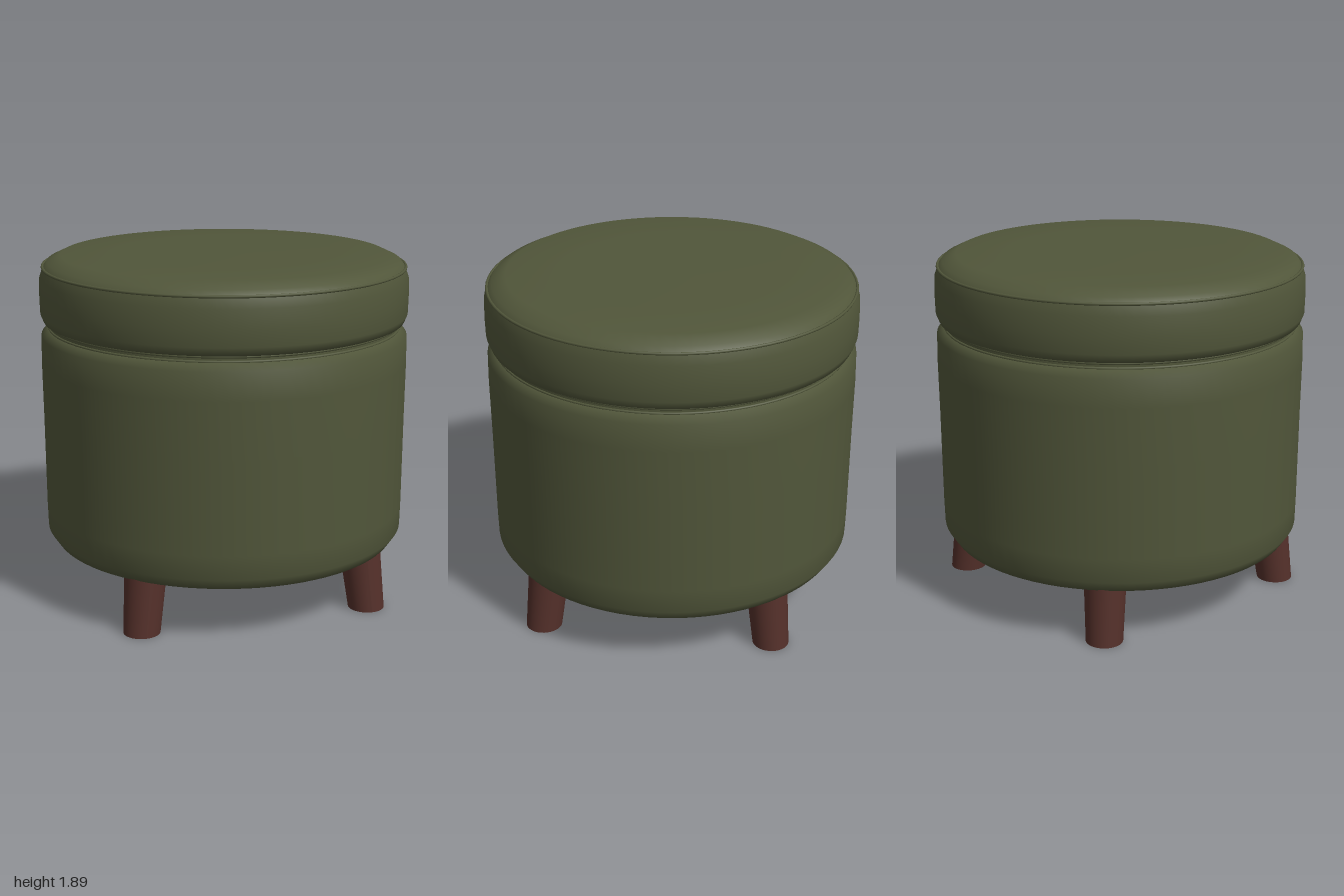
import * as THREE from 'three';

const material = (name, color) => {
  const m = new THREE.MeshStandardMaterial({ color });
  m.name = name;
  return m;
};

export function createModel() {
  const group = new THREE.Group();
  const fabric = material('olive fabric', 0x51563a);
  const wood = material('dark brown wood', 0x54302a);

  const add = (name, geometry, mat) => {
    const mesh = new THREE.Mesh(geometry, mat);
    mesh.name = name;
    group.add(mesh);
    return mesh;
  };
  const lathe = (points) =>
    new THREE.LatheGeometry(points.map(([r, y]) => new THREE.Vector2(r, y)), 80);
  const ring = (name, radius, tube, y) => {
    const mesh = add(name, new THREE.TorusGeometry(radius, tube, 8, 80), fabric);
    mesh.rotation.x = Math.PI / 2;
    mesh.position.y = y;
  };

  // Upholstered drum with rounded lower and upper edges
  add('body', lathe([
    [0, 0.28], [0.5, 0.28], [0.86, 0.28], [0.95, 0.31], [0.99, 0.37], [0.993, 0.5],
    [0.995, 1.0], [0.998, 1.3], [0.995, 1.45], [0.955, 1.49], [0.9, 1.495],
  ]), fabric);

  // Recessed gap between drum and lid
  add('gap', new THREE.CylinderGeometry(0.952, 0.952, 0.06, 80, 1, true), fabric).position.y = 1.5;

  // Cushioned lid, slightly domed on top
  add('lid', lathe([
    [0.9, 1.515], [0.95, 1.517], [0.982, 1.53], [0.998, 1.57], [1, 1.66], [0.997, 1.76],
    [0.978, 1.815],
  ]), fabric);
  add('lidTop', lathe([
    [0.978, 1.815], [0.955, 1.845], [0.88, 1.88], [0.6, 1.887], [0.3, 1.893], [0, 1.895],
  ]), fabric);

  // Piping along the seams
  ring('lidPiping', 0.98, 0.008, 1.817);
  ring('lidSeam', 0.952, 0.008, 1.517);
  ring('bodySeam', 0.952, 0.007, 1.491);

  // Four tapered legs, leaning outwards towards the floor
  const height = 0.37;
  for (const sx of [-1, 1]) {
    for (const sz of [-1, 1]) {
      const leg = new THREE.CylinderGeometry(0.113, 0.098, height, 32);
      leg.translate(0, height / 2, 0);
      const p = leg.attributes.position;
      for (let i = 0; i < p.count; i++) {
        const offset = 0.627 - 0.1 * p.getY(i);
        p.setX(i, p.getX(i) + sx * offset);
        p.setZ(i, p.getZ(i) + sz * offset);
      }
      leg.computeVertexNormals();
      add((sz > 0 ? 'front' : 'back') + (sx > 0 ? 'Left' : 'Right') + 'Leg', leg, wood);
    }
  }
  return group;
}
